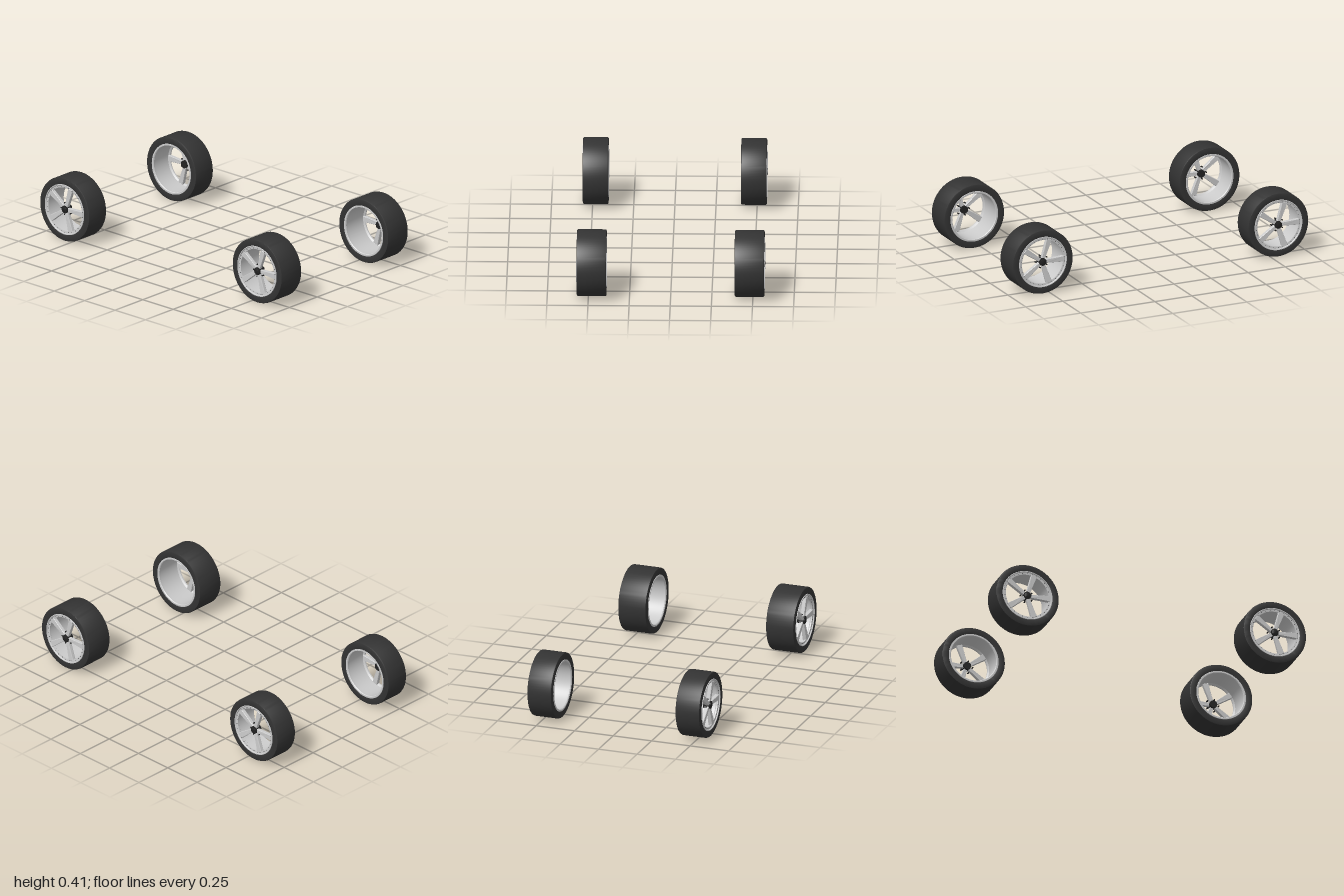
import * as THREE from 'three';
import { toCreasedNormals } from 'three/addons/utils/BufferGeometryUtils.js';

const R = 0.203;
const rubber = new THREE.MeshStandardMaterial({ color: 0x333333 });
const metal = new THREE.MeshStandardMaterial({ color: 0xcccccc });
const dark = new THREE.MeshStandardMaterial({ color: 0x222222 });

// Closed ring turned around z from a counter-clockwise [radius, z] profile
function turned(profile, segments = 64) {
  const pts = [...profile, profile[0]].map(([r, z]) => new THREE.Vector2(r, z));
  const g = new THREE.LatheGeometry(pts, segments).rotateX(Math.PI / 2);
  return toCreasedNormals(g, 0.5);
}

function part(name, geometry, material, parent) {
  const m = new THREE.Mesh(geometry, material);
  m.name = name;
  parent.add(m);
  return m;
}

function polar(mesh, radius, angle, z) {
  mesh.position.set(radius * Math.cos(angle), radius * Math.sin(angle), z);
}

// Disc along z
const disc = (r, depth, n) => new THREE.CylinderGeometry(r, r, depth, n).rotateX(Math.PI / 2);

// Tapered spoke along +x, leaning back towards the rim
function spokeGeometry() {
  const s = new THREE.Shape([
    [0.012, -0.009], [0.05, -0.011], [0.144, -0.017],
    [0.144, 0.017], [0.05, 0.011], [0.012, 0.009],
  ].map(([x, y]) => new THREE.Vector2(x, y)));
  const g = new THREE.ExtrudeGeometry(s, {
    depth: 0.018, bevelEnabled: true, bevelSize: 0.002, bevelThickness: 0.003, bevelSegments: 1,
  });
  const p = g.attributes.position;
  for (let i = 0; i < p.count; i++) {
    const t = p.getX(i) / 0.144;
    p.setZ(i, p.getZ(i) - 0.027 + 0.004 * t * t);
  }
  g.computeVertexNormals();
  return g;
}

// Wheel with its outer face at z = 0 and the given width behind it
function makeWheel(name, w) {
  const wheel = new THREE.Group();
  wheel.name = name;

  // Tyre with small rounded shoulders
  part('tyre', turned([
    [0.157, -w + 0.003], [0.165, -w], [R - 0.007, -w], [R - 0.002, -w + 0.002], [R, -w + 0.007],
    [R, -0.007], [R - 0.002, -0.002], [R - 0.007, 0], [0.165, 0], [0.157, -0.003],
  ], 80), rubber, wheel);

  // Open barrel with lips at both ends and a bolted face ring
  part('rimBarrel', turned([
    [0.146, -w + 0.004], [0.15, -w - 0.001], [0.16, -w - 0.001], [0.162, -w + 0.006],
    [0.157, -w + 0.012], [0.157, -0.012], [0.162, -0.006], [0.16, 0.002], [0.155, 0.002],
    [0.152, -0.004], [0.139, -0.006], [0.139, -0.014], [0.148, -0.022], [0.148, -w + 0.02],
  ]), metal, wheel);

  const boltGeo = disc(0.0018, 0.004, 6);
  for (let i = 0; i < 30; i++) {
    polar(part('rimBolt', boltGeo, dark, wheel), 0.1455, (i + 0.5) * Math.PI / 15, -0.004);
  }

  // Five spokes with a lug nut in each gap
  const spokeGeo = spokeGeometry();
  const nutGeo = disc(0.0045, 0.016, 6);
  for (let i = 0; i < 5; i++) {
    const a = i * Math.PI * 0.4;
    part('spoke', spokeGeo, metal, wheel).rotation.z = a;
    polar(part('lugNut', nutGeo, dark, wheel), 0.04, a + Math.PI / 5, -0.02);
  }

  // Hub and centre cap
  part('hub', disc(0.024, 0.044, 24), dark, wheel).position.z = -0.022;
  part('centreCap', turned([[0, -0.002], [0.02, -0.002], [0.02, 0.002], [0.016, 0.004], [0, 0.004]], 24), dark, wheel);
  return wheel;
}

export function createModel() {
  const model = new THREE.Group();
  model.name = 'wheelSet';
  const axles = [
    { name: 'front', z: 0.797, face: 0.57, w: 0.18 },
    { name: 'rear', z: -0.797, face: 0.559, w: 0.156 },
  ];
  for (const { name, z, face, w } of axles) {
    for (const side of [1, -1]) {
      const wheel = makeWheel(name + (side > 0 ? 'LeftWheel' : 'RightWheel'), w);
      wheel.rotation.y = side * Math.PI / 2;
      wheel.position.set(side * face, R, z);
      model.add(wheel);
    }
  }
  return model;
}
